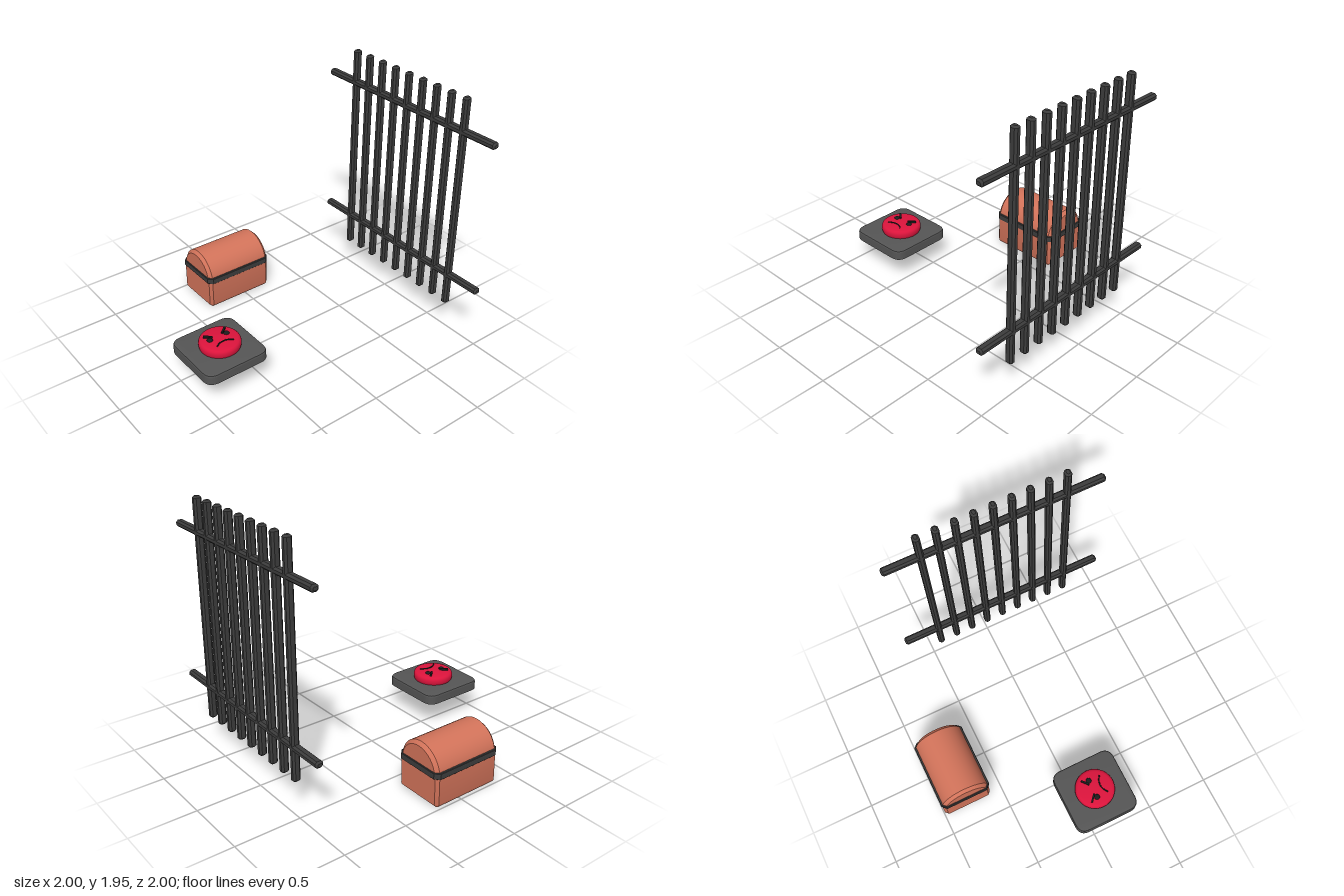
import * as THREE from 'three';
import { toCreasedNormals } from 'three/addons/utils/BufferGeometryUtils.js';

const mat = (color) => new THREE.MeshStandardMaterial({ color });
const iron = mat(0x3c3c3c), stone = mat(0x555555), red = mat(0xdc143c);
const leather = mat(0xd2735a), black = mat(0x1c1c1c);

function add(parent, name, geometry, material, x = 0, y = 0, z = 0) {
  const mesh = new THREE.Mesh(geometry, material);
  mesh.name = name;
  mesh.position.set(x, y, z);
  parent.add(mesh);
  return mesh;
}

// Rectangle with chamfered or rounded corners, centred on the origin
function plate(w, h, c, round = false) {
  const s = new THREE.Shape(), x = w / 2, y = h / 2;
  const corner = (cx, cy, ex, ey) => round ? s.quadraticCurveTo(cx, cy, ex, ey) : s.lineTo(ex, ey);
  s.moveTo(-x + c, -y);
  s.lineTo(x - c, -y); corner(x, -y, x, -y + c);
  s.lineTo(x, y - c); corner(x, y, x - c, y);
  s.lineTo(-x + c, y); corner(-x, y, -x, y - c);
  s.lineTo(-x, -y + c); corner(-x, -y, -x + c, -y);
  return s;
}

// Extrusion centred along z, with its bevel kept inside the outline
function solid(shape, depth, bevel, segments = 1, crease = 0.5) {
  const g = new THREE.ExtrudeGeometry(shape, {
    depth: depth - 2 * bevel, bevelEnabled: bevel > 0, bevelThickness: bevel,
    bevelSize: bevel, bevelOffset: -bevel, bevelSegments: segments, curveSegments: 16,
  });
  g.translate(0, 0, -depth / 2 + bevel);
  return toCreasedNormals(g, crease);
}

function makeGate() {
  const gate = new THREE.Group();
  gate.name = 'barredGate';
  // Upright bars
  const bar = solid(plate(0.05, 0.06, 0.014), 1.71, 0.013).rotateX(Math.PI / 2);
  for (let i = 0; i < 9; i++) add(gate, 'uprightBar', bar, iron, -0.42 + 0.14 * i, 1.095, -0.97);
  // Cross rails
  const rail = solid(plate(0.06, 0.05, 0.014), 1.71, 0.013).rotateY(Math.PI / 2);
  for (const y of [0.5, 1.69]) add(gate, 'crossRail', rail, iron, 0.145, y, -0.97);
  return gate;
}

function makeChest() {
  const chest = new THREE.Group();
  chest.name = 'chest';
  chest.position.set(-0.795, 0, 0.06);
  // Body with softened bottom edges
  const r = 0.197, c = 0.035, body = new THREE.Shape();
  body.moveTo(-r + c, 0);
  body.lineTo(r - c, 0);
  body.quadraticCurveTo(r - 0.005, 0, r, c);
  body.lineTo(r, 0.26);
  body.lineTo(-r, 0.26);
  body.lineTo(-r, c);
  body.quadraticCurveTo(-r + 0.005, 0, -r + c, 0);
  add(chest, 'chestBody', solid(body, 0.565, 0.022), leather);
  // Barrel lid
  const lid = new THREE.Shape();
  lid.absarc(0, 0, 0.193, 0, Math.PI, false);
  lid.closePath();
  add(chest, 'chestLid', solid(lid, 0.565, 0.025), leather, 0, 0.242, 0);
  // Iron band around the seam
  const band = solid(plate(0.41, 0.583, 0.035), 0.05, 0.004).rotateX(-Math.PI / 2);
  add(chest, 'chestBand', band, iron, 0, 0.254, 0);
  return chest;
}

function makeButton() {
  const button = new THREE.Group();
  button.name = 'floorButton';
  button.position.set(0.125, 0, 0.735);
  // Base: straight lower wall and a bevelled upper edge
  const slab = solid(plate(0.52, 0.52, 0.085, true), 0.06, 0).rotateX(-Math.PI / 2);
  add(button, 'base', slab, stone, 0, 0.23, 0);
  const top = solid(plate(0.52, 0.52, 0.085, true), 0.04, 0.016, 2).rotateX(-Math.PI / 2);
  add(button, 'baseTop', top, stone, 0, 0.256, 0);
  // Round red cap
  const profile = [[0, 0.27], [0.145, 0.27], [0.152, 0.283], [0.155, 0.295], [0.155, 0.315],
    [0.151, 0.328], [0.142, 0.337], [0.128, 0.341], [0, 0.341]];
  const cap = new THREE.LatheGeometry(profile.map(([x, y]) => new THREE.Vector2(x, y)), 48);
  add(button, 'cap', toCreasedNormals(cap, 0.7), red, 0, 0, -0.005);

  // Frowning face, its brow toward -x
  const face = new THREE.Group();
  face.name = 'frowningFace';
  face.position.set(0, 0.341, -0.005);
  button.add(face);
  const eye = new THREE.SphereGeometry(0.022, 20, 12).scale(1, 0.6, 1);
  const brow = new THREE.BoxGeometry(0.068, 0.022, 0.014);
  for (const side of [-1, 1]) {
    add(face, 'eye', eye, black, -0.02, 0, side * 0.071);
    add(face, 'brow', brow, black, -0.053, 0.003, side * 0.067).rotation.y = side * 0.87;
  }
  const mouth = new THREE.QuadraticBezierCurve3(
    new THREE.Vector3(0.076, 0.002, -0.073),
    new THREE.Vector3(0.012, 0.002, 0),
    new THREE.Vector3(0.076, 0.002, 0.073));
  add(face, 'mouth', new THREE.TubeGeometry(mouth, 20, 0.005, 8), black);
  return button;
}

export function createModel() {
  const model = new THREE.Group();
  model.name = 'dungeonProps';
  model.add(makeGate(), makeChest(), makeButton());
  return model;
}
